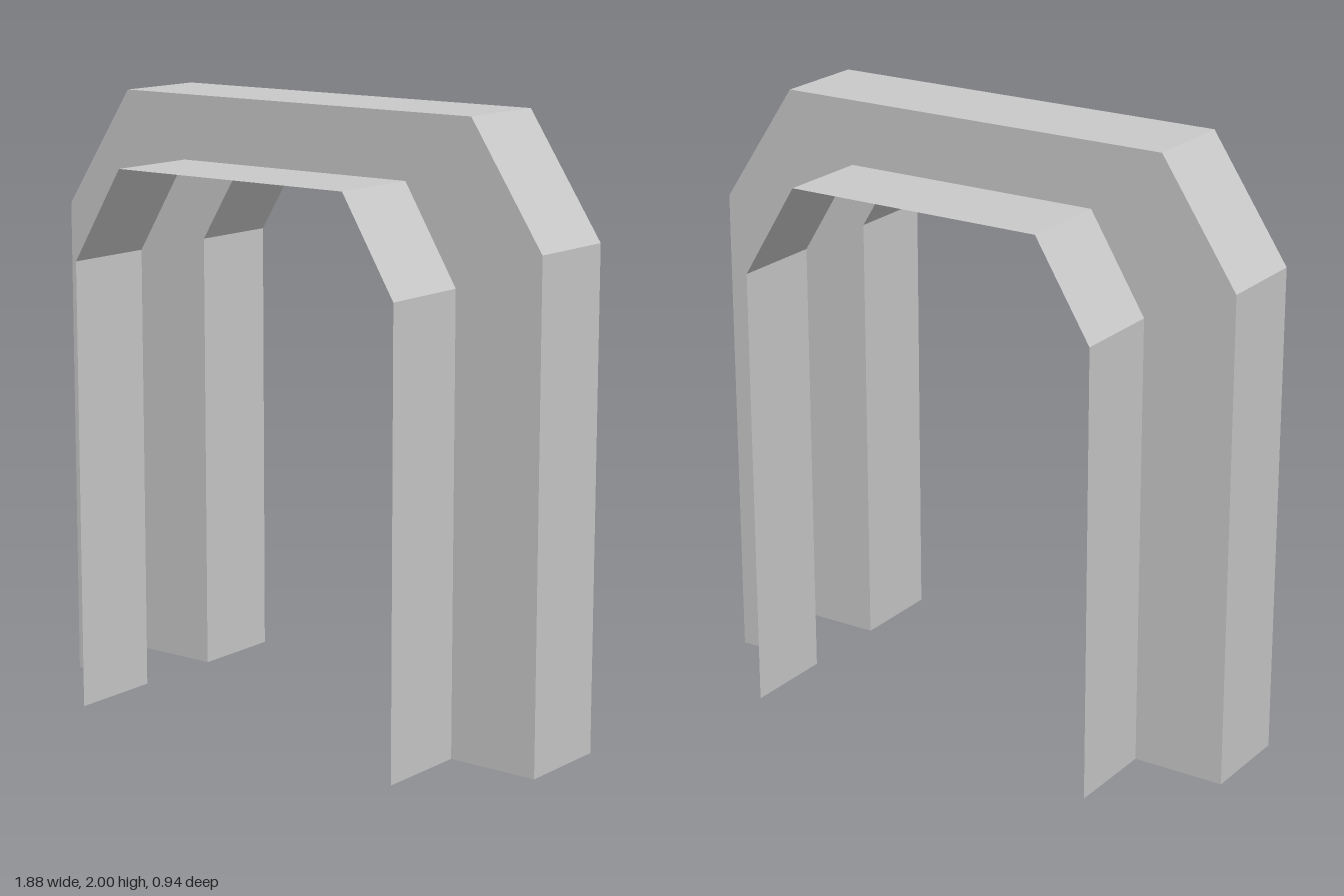
import * as THREE from 'three';

// Half profiles of the arch, from foot to crown (x, y)
const OUTER = [[0.94, 0], [0.94, 1.61], [0.68, 2]];
const INNER = [[0.63, 0], [0.63, 1.48], [0.44, 1.79]];
const WEB_Z = 0.157, FLANGE_Z = 0.47;

// Full arch line at depth z, mirrored from -x over to +x
function archLine(half, z) {
  const right = half.map(([x, y]) => new THREE.Vector3(x, y, z));
  const left = half.map(([x, y]) => new THREE.Vector3(-x, y, z));
  return [...left, ...right.reverse()];
}

// Flat sheet panels spanning two arch lines
function sheet(name, a, b, material) {
  const points = [];
  for (let i = 0; i < a.length - 1; i++) {
    points.push(a[i], a[i + 1], b[i + 1], a[i], b[i + 1], b[i]);
  }
  const geometry = new THREE.BufferGeometry().setFromPoints(points);
  geometry.computeVertexNormals();
  const mesh = new THREE.Mesh(geometry, material);
  mesh.name = name;
  return mesh;
}

export function createModel() {
  const group = new THREE.Group();
  group.name = 'archedChannel';
  const material = new THREE.MeshStandardMaterial({
    color: 0xcccccc, flatShading: true, side: THREE.DoubleSide,
  });

  // Hat-shaped cross-section, front to back, open on the inside
  const lines = [
    archLine(INNER, FLANGE_Z), archLine(INNER, WEB_Z), archLine(OUTER, WEB_Z),
    archLine(OUTER, -WEB_Z), archLine(INNER, -WEB_Z), archLine(INNER, -FLANGE_Z),
  ];
  const names = ['frontFlange', 'frontWeb', 'outerBand', 'backWeb', 'backFlange'];
  names.forEach((name, i) => group.add(sheet(name, lines[i], lines[i + 1], material)));

  return group;
}
